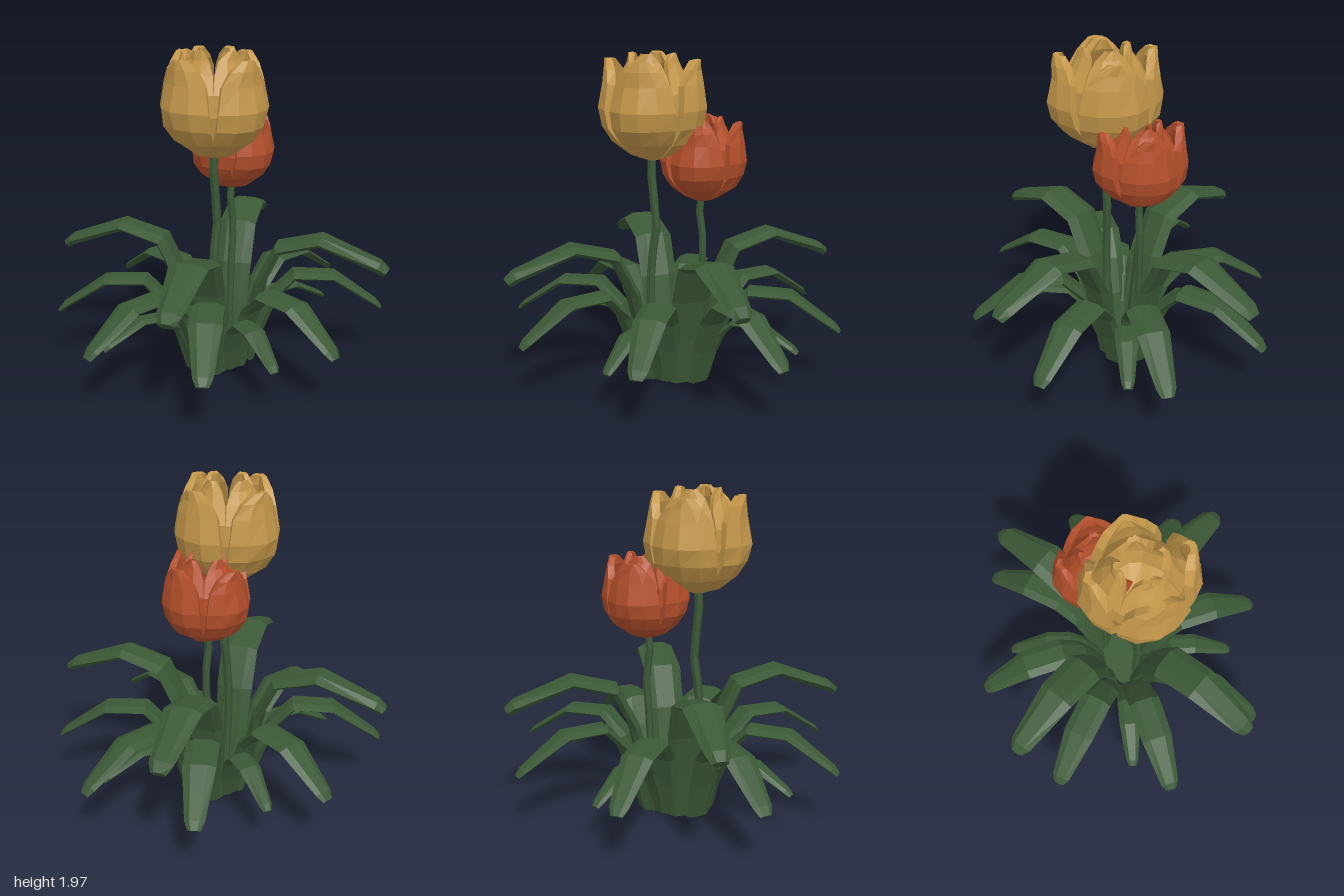
import * as THREE from 'three';

const leafGreen = new THREE.MeshStandardMaterial({ color: 0x3b5836 });
leafGreen.name = 'leaf green';
const petalYellow = new THREE.MeshStandardMaterial({ color: 0xc4974a });
petalYellow.name = 'petal yellow';
const petalRed = new THREE.MeshStandardMaterial({ color: 0xb44f2b });
petalRed.name = 'petal red';

// Unindexed faces keep every facet flat
function faceted(geometry) {
  const flat = geometry.index ? geometry.toNonIndexed() : geometry;
  flat.computeVertexNormals();
  return flat;
}

// Solid skin over equal-sized loops of points, closed at both ends
function loft(loops) {
  const n = loops[0].length, last = loops.length - 1, pos = [];
  const quad = (a, b, c, d) => [a, b, c, a, c, d].forEach((p) => pos.push(...p));
  for (let i = 0; i < last; i++) {
    for (let j = 0; j < n; j++) {
      const k = (j + 1) % n;
      quad(loops[i][j], loops[i][k], loops[i + 1][k], loops[i + 1][j]);
    }
  }
  const s = loops[0], e = loops[last];
  for (let j = 0; j < n / 2 - 1; j++) {
    quad(s[n - 1 - j], s[n - 2 - j], s[j + 1], s[j]);
    quad(e[j], e[j + 1], e[n - 2 - j], e[n - 1 - j]);
  }
  const g = new THREE.BufferGeometry();
  g.setAttribute('position', new THREE.Float32BufferAttribute(pos, 3));
  return faceted(g);
}

// Unit normal (up and inward) of a profile of [r, y, ...] rows
function normalAt(rows, i) {
  const a = rows[Math.max(i - 1, 0)], b = rows[Math.min(i + 1, rows.length - 1)];
  const dr = b[0] - a[0], dy = b[1] - a[1], len = Math.hypot(dr, dy);
  return [-dy / len, dr / len];
}

// Leaf section: raised flat middle with bevelled sides (across, normal)
const leafSection = [[-0.65, -0.5], [0.65, -0.5], [1, 0], [0.5, 0.5], [-0.5, 0.5], [-1, 0]];

// Leaf rows: [reach, height, half width, thickness]
function leafGeometry(rows) {
  return loft(rows.map(([r, y, w, t], i) => {
    const [nr, ny] = normalAt(rows, i);
    return leafSection.map(([u, n]) =>
      [r + nr * n * t, i === 0 ? 0 : y + ny * n * t, -u * w]);
  }));
}

// Each leaf stands on an oval: base holds its x and z radii
const leafKinds = [
  {
    name: 'tallLeaf', angles: [58, 148, 238, 328], base: [0.18, 0.15],
    rows: [[-0.02, 0, 0.08, 0.05], [0.03, 0.3, 0.1, 0.06], [0.09, 0.56, 0.115, 0.06],
      [0.2, 0.79, 0.118, 0.06], [0.45, 0.86, 0.113, 0.055], [0.79, 0.73, 0.07, 0.06],
      [0.835, 0.695, 0.045, 0.05]],
  },
  {
    name: 'middleLeaf', angles: [0, 90, 180, 270], base: [0.215, 0.14],
    rows: [[-0.02, 0, 0.07, 0.05], [0.035, 0.22, 0.08, 0.06], [0.12, 0.43, 0.09, 0.055],
      [0.25, 0.57, 0.097, 0.045], [0.49, 0.565, 0.095, 0.04], [0.75, 0.39, 0.056, 0.03],
      [0.785, 0.355, 0.035, 0.02]],
  },
  {
    name: 'smallLeaf', angles: [13, 107, 194, 287], base: [0.21, 0.14],
    rows: [[-0.02, 0, 0.055, 0.04], [0.03, 0.16, 0.06, 0.045], [0.1, 0.31, 0.065, 0.04],
      [0.19, 0.395, 0.068, 0.035], [0.34, 0.4, 0.066, 0.035], [0.55, 0.285, 0.038, 0.03],
      [0.58, 0.26, 0.025, 0.02]],
  },
];
leafKinds.push({ ...leafKinds[1], name: 'cornerLeaf', angles: [45, 135, 225, 315], base: [0.26, 0.145] });

// Petal rows: [radius, height, half angle]
const outerPetal = [[0.03, 0.005, 0.8], [0.13, 0.04, 0.82], [0.24, 0.12, 0.8], [0.3, 0.21, 0.73],
  [0.32, 0.31, 0.7], [0.295, 0.45, 0.63], [0.285, 0.53, 0.42], [0.28, 0.585, 0.16]];
const innerPetal = [[0.03, 0.03, 0.8], [0.11, 0.07, 0.8], [0.21, 0.16, 0.8], [0.245, 0.28, 0.8],
  [0.24, 0.4, 0.78], [0.185, 0.5, 0.76], [0.15, 0.57, 0.6], [0.135, 0.62, 0.25]];

function petalGeometry(rows, thickness, seed) {
  const steps = [1, 0.5, 0, -0.5, -1];
  return loft(rows.map(([r, y, half], i) => {
    const [nr, ny] = normalAt(rows, i);
    const full = i === rows.length - 1 ? thickness * 0.7 : thickness;
    const point = (s, depth) => {
      // Gentle dents in the surface, and sides that curl inward
      const dent = i === 0 ? 0 : 0.005 * Math.sin(seed + i * 2.3 + s * 5.1 + i * s * 3.7);
      const d = depth + dent, rad = Math.max(r * (1 - 0.08 * s * s) + nr * d, 0.002);
      return [rad * Math.cos(s * half), y + ny * d, rad * Math.sin(s * half)];
    };
    return [...steps.map((s) => point(s, 0)),
      ...[...steps].reverse().map((s) => point(s, full))];
  }));
}

function makeFlower(name, material, scale, x, y, z) {
  const flower = new THREE.Group();
  flower.name = name;
  flower.position.set(x, y, z);
  // Blooms are slightly deeper than wide
  flower.scale.set(scale, scale, scale * 1.06);
  for (let i = 0; i < 4; i++) {
    const outer = new THREE.Mesh(petalGeometry(outerPetal, 0.048, i), material);
    outer.name = 'outerPetal';
    const inner = new THREE.Mesh(petalGeometry(innerPetal, 0.038, i + 5), material);
    inner.name = 'innerPetal';
    outer.rotation.y = inner.rotation.y = i * Math.PI / 2;
    flower.add(outer, inner);
  }
  return flower;
}

function makeStem(name, points, radius) {
  const curve = new THREE.CatmullRomCurve3(points.map((p) => new THREE.Vector3(...p)));
  const stem = new THREE.Mesh(faceted(new THREE.TubeGeometry(curve, 9, radius, 6)), leafGreen);
  stem.name = name;
  return stem;
}

export function createModel() {
  const model = new THREE.Group();
  model.name = 'floweringPlant';

  // Leaves spread from an oval base
  for (const { name, angles, base, rows } of leafKinds) {
    const geometry = leafGeometry(rows);
    for (const degrees of angles) {
      const a = THREE.MathUtils.degToRad(degrees);
      const leaf = new THREE.Mesh(geometry, leafGreen);
      leaf.name = name;
      leaf.position.set(base[0] * Math.cos(a), 0, base[1] * Math.sin(a));
      leaf.rotation.y = -a;
      model.add(leaf);
    }
  }

  // Low crown filling the middle of the leaf bases
  const crown = new THREE.Mesh(faceted(new THREE.CylinderGeometry(1, 1, 0.05, 12)), leafGreen);
  crown.name = 'crown';
  crown.scale.set(0.18, 1, 0.11);
  crown.position.y = 0.03;
  model.add(crown);

  // Stems, ending just inside the blooms
  model.add(makeStem('tallStem', [[-0.1, 0.01, 0.07], [-0.13, 0.5, 0.07], [-0.12, 0.75, 0.07],
    [-0.09, 1, 0.07], [-0.118, 1.2, 0.07], [-0.115, 1.42, 0.07]], 0.026));
  model.add(makeStem('shortStem', [[0.13, 0.01, -0.065], [0.15, 0.6, -0.065], [0.165, 0.85, -0.065],
    [0.142, 1.02, -0.065], [0.155, 1.15, -0.065]], 0.023));
  // Tip of the tall stem at the heart of its bloom
  const heart = new THREE.Mesh(faceted(new THREE.CylinderGeometry(0.028, 0.028, 0.08, 8)), leafGreen);
  heart.name = 'stemTip';
  heart.position.set(-0.115, 1.41, 0.07);
  model.add(heart);

  // Blooms
  model.add(makeFlower('yellowBloom', petalYellow, 1, -0.112, 1.35, 0.068));
  model.add(makeFlower('redBloom', petalRed, 0.82, 0.16, 1.09, -0.068));
  return model;
}
